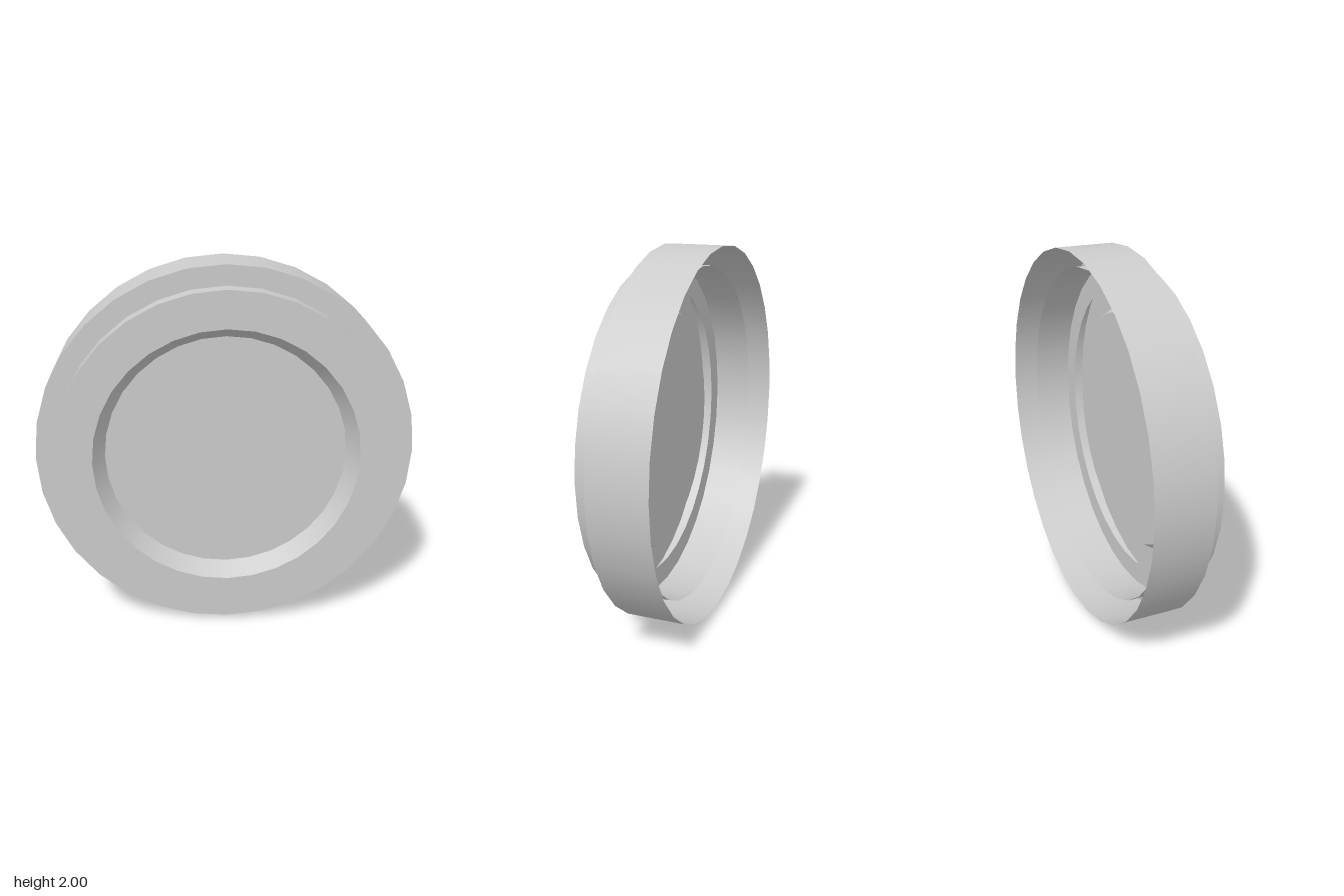
import * as THREE from 'three';

const SIDES = 32;
const material = new THREE.MeshStandardMaterial({ color: 0xcccccc, side: THREE.DoubleSide });

// Depths along z
const BACK = -0.205, SLEEVE_BACK = -0.1, STEP = 0.107, FRONT = 0.205;

// One thin turned surface between two [radius, z] points
function band(name, from, to) {
  const points = [from, to].map(([r, z]) => new THREE.Vector2(r, z));
  const mesh = new THREE.Mesh(new THREE.LatheGeometry(points, SIDES), material);
  mesh.name = name;
  return mesh;
}

export function createModel() {
  const model = new THREE.Group();
  model.name = 'steppedRoundCap';

  // Outer housing, open at the back, with a flange reaching inwards
  const housing = new THREE.Group();
  housing.name = 'housing';
  housing.add(
    band('outerWall', [1, BACK], [1, STEP]),
    band('flange', [1, STEP], [0.775, STEP])
  );

  // Raised front bezel whose sleeve continues inside the housing
  const bezel = new THREE.Group();
  bezel.name = 'bezel';
  bezel.add(
    band('sleeve', [0.895, SLEEVE_BACK], [0.895, FRONT]),
    band('frontRing', [0.895, FRONT], [0.7, FRONT]),
    band('recessWall', [0.7, FRONT], [0.64, STEP]),
    band('recessedFace', [0.64, STEP], [0, STEP])
  );

  // Turn the lathe axis to face +z and stand the rim on the ground
  model.add(housing, bezel);
  for (const part of [housing, bezel]) {
    part.rotation.x = Math.PI / 2;
    part.position.y = 1;
  }
  return model;
}
